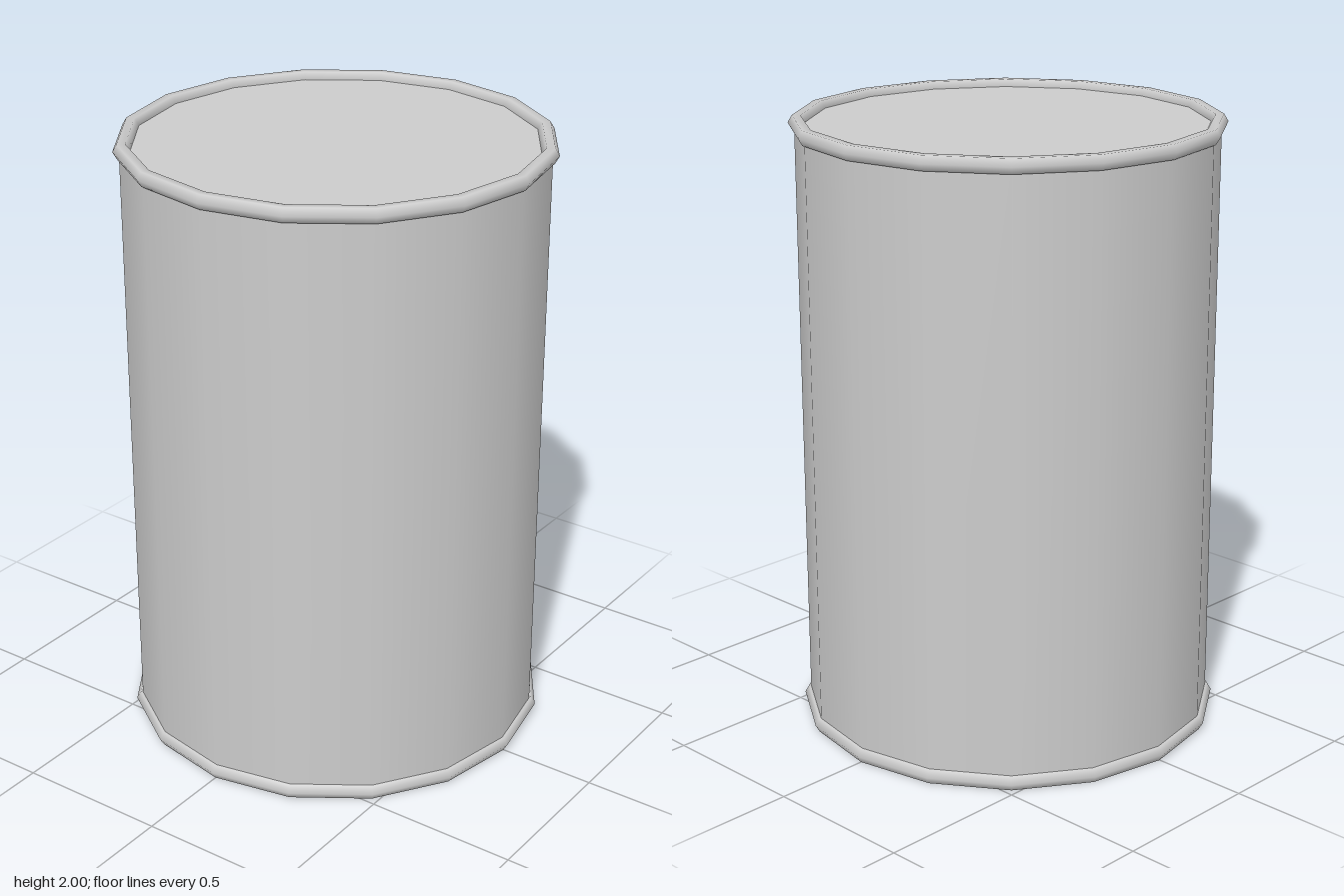
import * as THREE from 'three';

const SIDES = 16;
const RIM_RADIUS = 0.663;
const TUBE = 0.027;
const RIM_HALF = TUBE * Math.sin(Math.PI / 3); // half height of the six-sided bead

export function createModel() {
  const group = new THREE.Group();
  const material = new THREE.MeshStandardMaterial({ color: 0xcccccc });

  const add = (name, geometry, y) => {
    const mesh = new THREE.Mesh(geometry, material);
    mesh.name = name;
    mesh.position.y = y;
    group.add(mesh);
  };

  // Closed can body, its lids slightly recessed inside the rims
  add('body', new THREE.CylinderGeometry(0.67, 0.67, 2 - 2 * RIM_HALF, SIDES), 1);

  // Rolled rims at both ends
  for (const [name, y] of [['bottomRim', RIM_HALF], ['topRim', 2 - RIM_HALF]]) {
    const rim = new THREE.TorusGeometry(RIM_RADIUS, TUBE, 6, SIDES);
    rim.rotateX(Math.PI / 2);
    add(name, rim, y);
  }

  return group;
}
